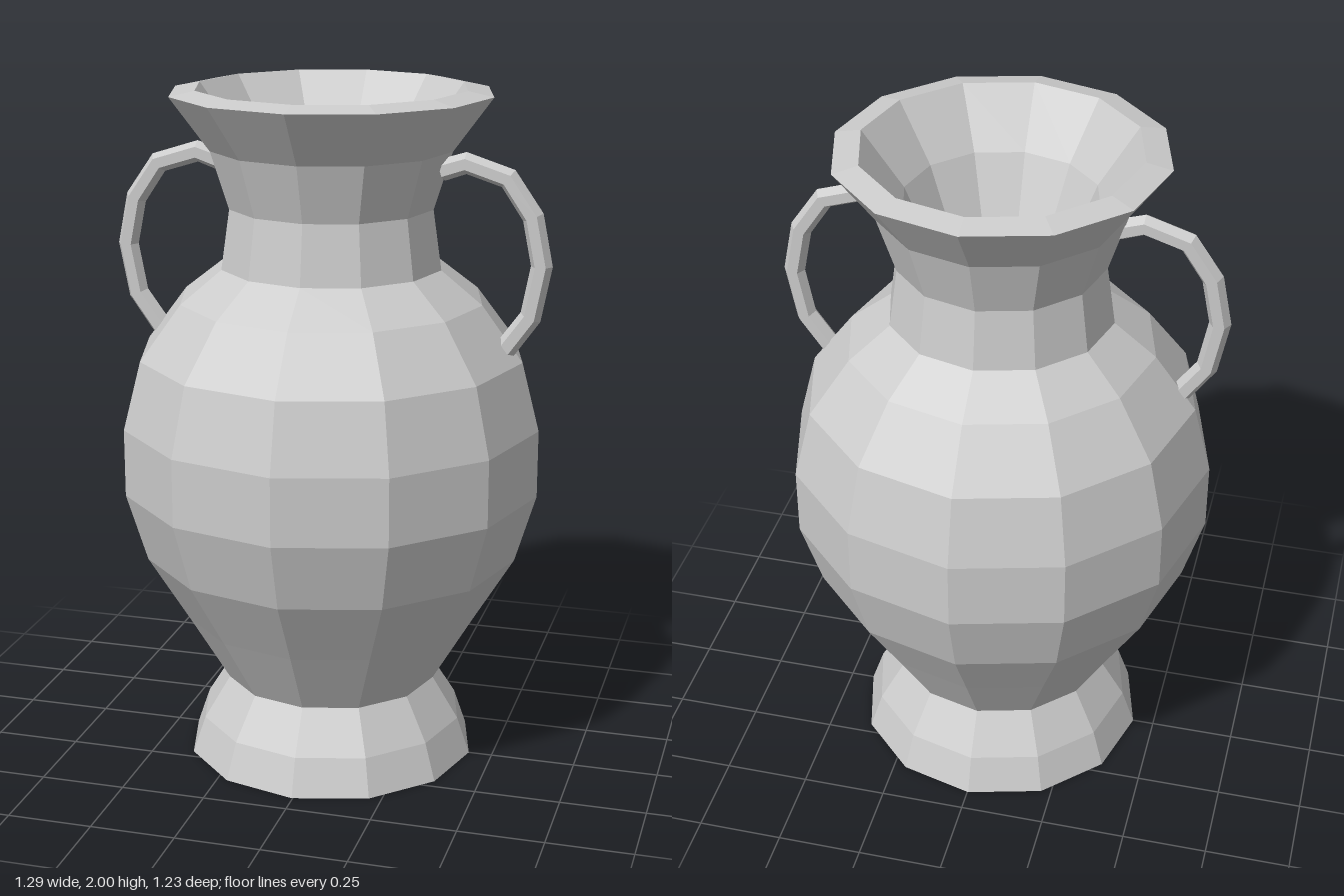
import * as THREE from 'three';

const SIDES = 12;
const material = new THREE.MeshStandardMaterial({ color: 0xcccccc, flatShading: true });

// Sweep a closed hexagonal section along a planar path of [x, y] points, with mitred bends
function sweepHexagon(path, radius, sides = 6) {
  const pts = path.map(([x, y]) => new THREE.Vector2(x, y));
  const positions = [];
  const index = [];
  pts.forEach((p, i) => {
    const before = p.clone().sub(pts[Math.max(i - 1, 0)]).normalize();
    const after = pts[Math.min(i + 1, pts.length - 1)].clone().sub(p).normalize();
    const t = before.add(after).normalize();
    for (let k = 0; k < sides; k++) {
      const a = (k / sides) * Math.PI * 2;
      const out = radius * Math.cos(a);
      positions.push(p.x - t.y * out, p.y + t.x * out, radius * Math.sin(a));
    }
  });
  for (let i = 0; i < pts.length - 1; i++) {
    for (let k = 0; k < sides; k++) {
      const a = i * sides + k;
      const b = i * sides + ((k + 1) % sides);
      index.push(a, b, a + sides, b, b + sides, a + sides);
    }
  }
  // End caps
  const last = (pts.length - 1) * sides;
  for (let k = 1; k < sides - 1; k++) {
    index.push(0, k + 1, k, last, last + k, last + k + 1);
  }
  const geometry = new THREE.BufferGeometry();
  geometry.setAttribute('position', new THREE.Float32BufferAttribute(positions, 3));
  geometry.setIndex(index);
  geometry.computeVertexNormals();
  return geometry;
}

export function createModel() {
  const model = new THREE.Group();
  model.name = 'twoHandledVase';

  // Body: up the outside from the base, over the rim, and down the hollow inside
  const outside = [
    [0, 0], [0.433, 0], [0.395, 0.11], [0.317, 0.235], [0.435, 0.435],
    [0.556, 0.635], [0.617, 0.837], [0.617, 1.035], [0.565, 1.235],
    [0.445, 1.395], [0.324, 1.49], [0.299, 1.663], [0.352, 1.83], [0.466, 1.985],
  ];
  const inside = [
    [0.392, 2], [0.275, 1.84], [0.2, 1.665], [0.225, 1.45], [0.38, 1.31],
    [0.47, 1.19], [0.515, 1.02], [0.515, 0.85], [0.46, 0.67], [0.34, 0.47],
    [0.21, 0.235], [0.29, 0.1], [0, 0.1],
  ];
  const profile = [...outside, ...inside].map(([r, y]) => new THREE.Vector2(r, y));
  const body = new THREE.Mesh(new THREE.LatheGeometry(profile, SIDES), material);
  body.name = 'body';
  body.position.x = -0.003;
  model.add(body);

  // Handles: from the neck out and down to the shoulder
  const handlePath = [
    [0.325, 1.78], [0.395, 1.803], [0.515, 1.765], [0.587, 1.66],
    [0.615, 1.522], [0.587, 1.375], [0.517, 1.277],
  ];
  const handleGeometry = sweepHexagon(handlePath, 0.031);
  [['leftHandle', 0], ['rightHandle', Math.PI]].forEach(([name, turn]) => {
    const handle = new THREE.Mesh(handleGeometry, material);
    handle.name = name;
    handle.rotation.y = turn;
    handle.position.set(-0.003, 0, 0.018);
    model.add(handle);
  });

  return model;
}
